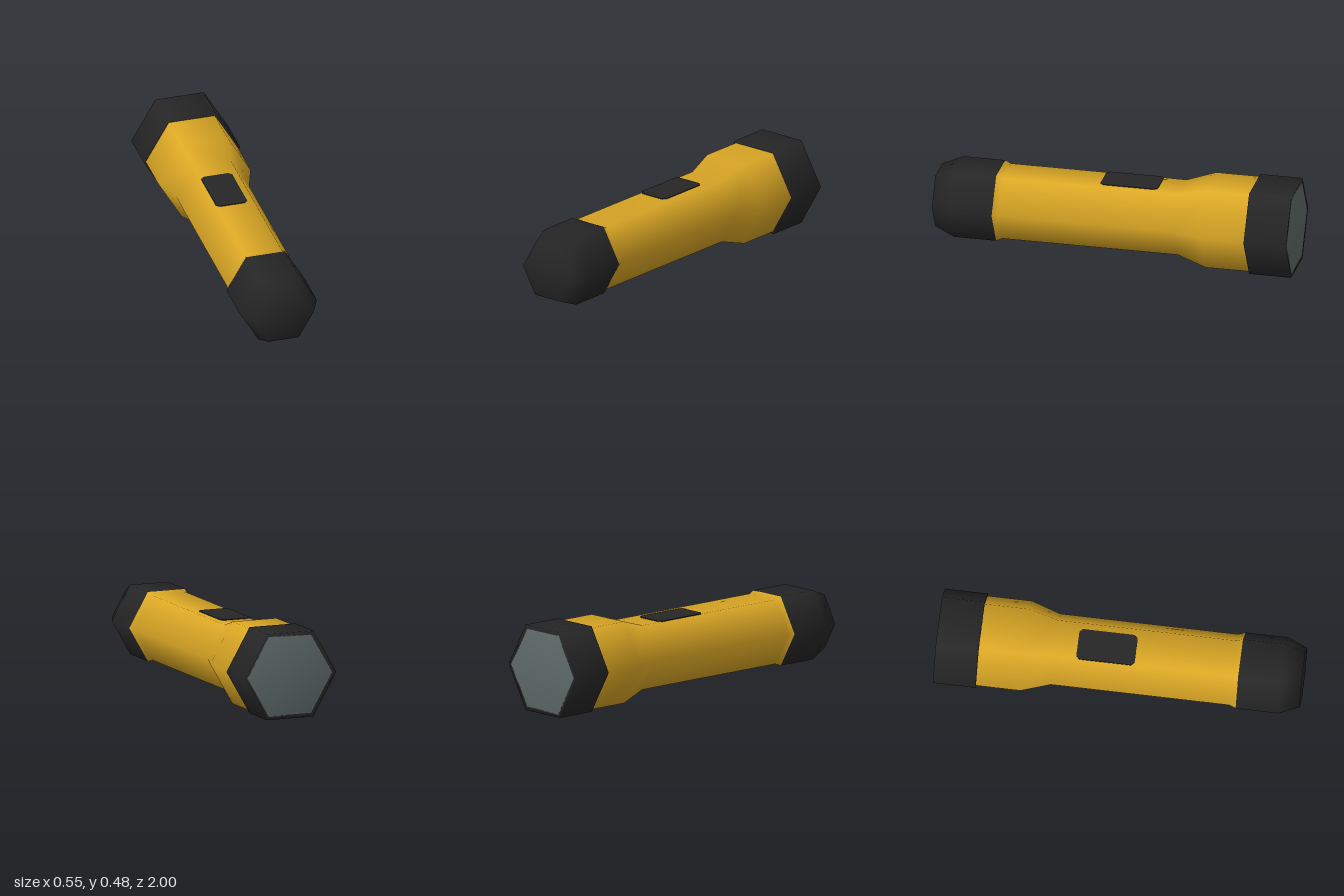
import * as THREE from 'three';

const AXIS_Y = 0.238;

// Six-sided tube along z from [radius, z] pairs, listed back to front
function hexTube(name, profile, material) {
  const points = profile.map(([r, z]) => new THREE.Vector2(r, z));
  const geometry = new THREE.LatheGeometry(points, 6, Math.PI / 2);
  geometry.rotateX(Math.PI / 2);
  const mesh = new THREE.Mesh(geometry, material);
  mesh.name = name;
  mesh.position.y = AXIS_Y;
  return mesh;
}

function colour(name, hex) {
  const material = new THREE.MeshStandardMaterial({ color: hex });
  material.name = name;
  return material;
}

export function createModel() {
  const group = new THREE.Group();
  group.name = 'flashlight';

  const yellow = colour('yellow plastic', 0xdca825);
  const black = colour('black rubber', 0x262626);
  const glass = colour('grey glass', 0x5e6a68);

  // Handle flaring into the lamp head
  group.add(hexTube('body', [
    [0.262, -0.77], [0.262, -0.52], [0.207, -0.36], [0.207, 0.62], [0.222, 0.655],
  ], yellow));

  // Rubber cap on the end of the handle
  group.add(hexTube('endCap', [
    [0.205, 0.655], [0.222, 0.655], [0.222, 0.89], [0.173, 1], [0, 1],
  ], black));

  // Collar around the lamp
  group.add(hexTube('lampCollar', [
    [0.25, -1], [0.275, -1], [0.275, -0.765], [0.25, -0.765],
  ], black));

  // Lens, with its rim set into the collar
  group.add(hexTube('lens', [[0, -1], [0.256, -1], [0.256, -0.95]], glass));

  // Switch plate with clipped corners on the top face
  const w = 0.088, l = 0.16, c = 0.018;
  const outline = new THREE.Shape([
    [-w + c, -l], [w - c, -l], [w, -l + c], [w, l - c],
    [w - c, l], [-w + c, l], [-w, l - c], [-w, -l + c],
  ].map(([x, y]) => new THREE.Vector2(x, y)));
  const plate = new THREE.ExtrudeGeometry(outline, { depth: 0.005, bevelEnabled: false });
  plate.rotateX(-Math.PI / 2);
  const switchPlate = new THREE.Mesh(plate, black);
  switchPlate.name = 'switchPlate';
  switchPlate.position.set(-0.02, AXIS_Y + 0.207 * Math.cos(Math.PI / 6) - 0.001, -0.075);
  group.add(switchPlate);

  return group;
}
